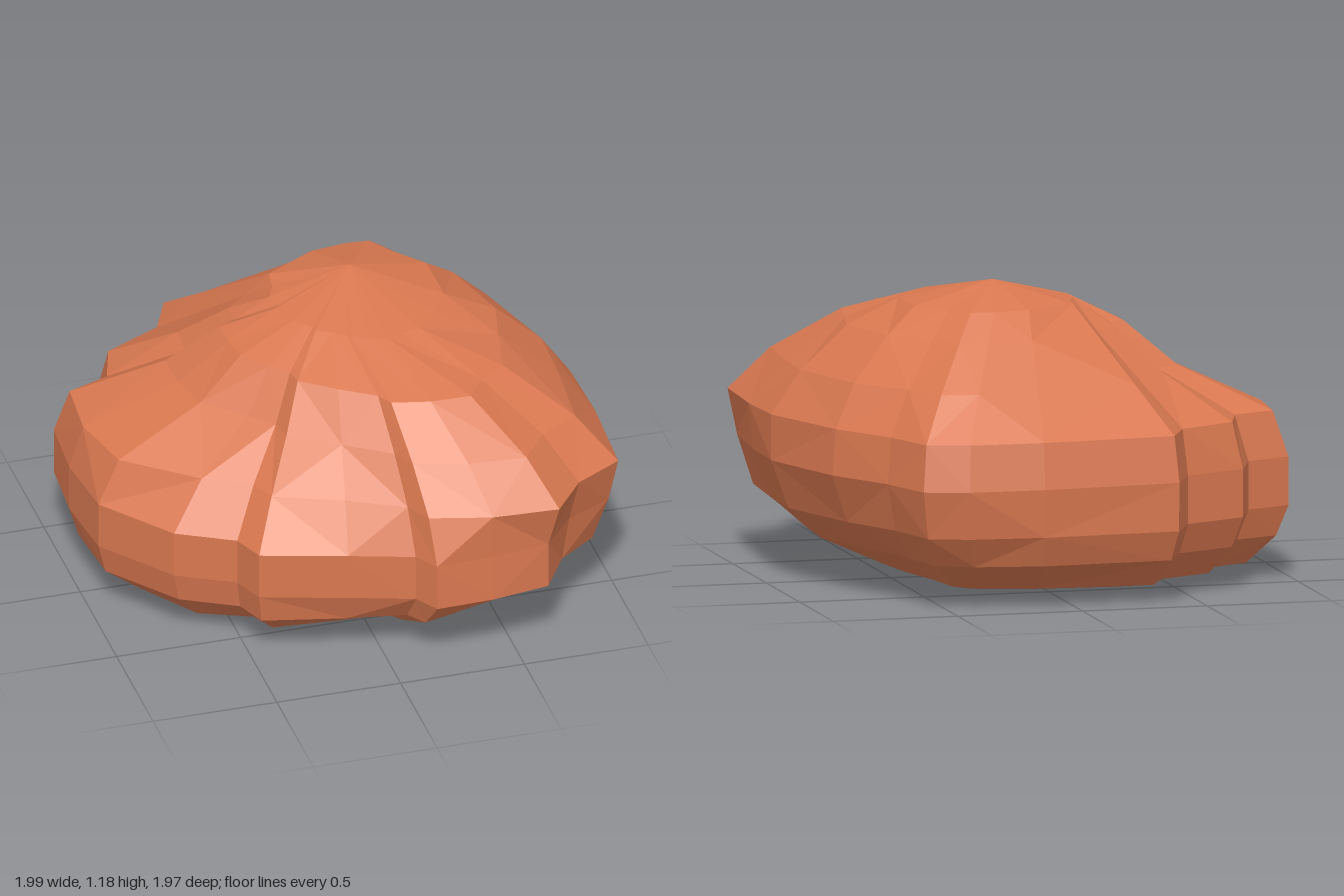
import * as THREE from 'three';

// Widest outline of the boulder seen from above, as x, z pairs from +x towards +z
const OUTLINE = [
  [0.98, 0], [0.99, 0.3], [0.97, 0.69], [0.78, 0.8], [0.65, 0.97], [0.4, 0.99],
  [0.16, 0.98], [0.1, 0.88], [-0.15, 0.79], [-0.48, 0.69], [-0.53, 0.56], [-0.75, 0.44],
  [-0.97, 0.15], [-1, -0.15], [-0.98, -0.43], [-0.8, -0.5], [-0.73, -0.68], [-0.48, -0.79],
  [-0.4, -0.96], [0.15, -1], [0.45, -0.99], [0.62, -0.94], [0.7, -0.7], [0.85, -0.43],
];

// Cross-sections: height, then the outline's scale at every 30 degrees from +x towards +z
const RINGS = [
  [0.02, [0.45, 0.42, 0.42, 0.5, 0.6, 0.6, 0.6, 0.6, 0.6, 0.55, 0.5, 0.45]],
  [0.06, [0.55, 0.52, 0.55, 0.7, 0.8, 0.85, 0.82, 0.85, 0.85, 0.8, 0.7, 0.6]],
  [0.17, [0.8, 0.76, 0.77, 0.93, 0.97, 0.97, 0.97, 0.95, 0.95, 0.95, 0.88, 0.8]],
  [0.29, [0.93, 0.9, 0.96, 1, 1, 1, 1, 1, 1, 0.99, 0.96, 0.92]],
  [0.48, [1, 0.97, 0.95, 1, 1, 1, 1, 1, 1, 1, 1, 1]],
  [0.66, [1, 1, 1, 0.87, 0.82, 0.82, 0.95, 0.94, 0.97, 0.97, 0.97, 0.98]],
  [0.83, [0.88, 0.85, 0.86, 0.72, 0.62, 0.52, 0.57, 0.6, 0.72, 0.76, 0.8, 0.88]],
  [1.0, [0.69, 0.6, 0.62, 0.55, 0.45, 0.38, 0.38, 0.4, 0.47, 0.56, 0.6, 0.7]],
  [1.1, [0.48, 0.33, 0.25, 0.2, 0.18, 0.15, 0.15, 0.2, 0.32, 0.44, 0.48, 0.56]],
];

function ringPoints([y, scales]) {
  return OUTLINE.map(([x, z]) => {
    const a = ((Math.atan2(z, x) / (Math.PI / 6)) + 12) % 12;
    const i = Math.floor(a);
    const s = THREE.MathUtils.lerp(scales[i % 12], scales[(i + 1) % 12], a - i);
    return [x * s, y, z * s];
  });
}

function boulderGeometry() {
  const rings = RINGS.map(ringPoints);
  const n = OUTLINE.length;
  const top = [0.14, 1.185, -0.18];
  const bottom = [0, 0, 0];
  const pos = [];
  const tri = (a, b, c) => pos.push(...a, ...b, ...c);

  for (let j = 0; j < n; j++) {
    const k = (j + 1) % n;
    // Faceted sides
    for (let r = 0; r < rings.length - 1; r++) {
      const a = rings[r][j], b = rings[r][k];
      const c = rings[r + 1][k], d = rings[r + 1][j];
      if ((r + j) % 2) {
        tri(a, d, b);
        tri(b, d, c);
      } else {
        tri(a, d, c);
        tri(a, c, b);
      }
    }
    // Crown and underside
    const last = rings[rings.length - 1];
    tri(last[j], top, last[k]);
    tri(rings[0][j], rings[0][k], bottom);
  }
  const geometry = new THREE.BufferGeometry();
  geometry.setAttribute('position', new THREE.Float32BufferAttribute(pos, 3));
  geometry.computeVertexNormals();
  return geometry;
}

export function createModel() {
  const group = new THREE.Group();
  group.name = 'rock';
  const material = new THREE.MeshStandardMaterial({ color: 0xd97850, flatShading: true });
  const boulder = new THREE.Mesh(boulderGeometry(), material);
  boulder.name = 'boulder';
  group.add(boulder);
  return group;
}
